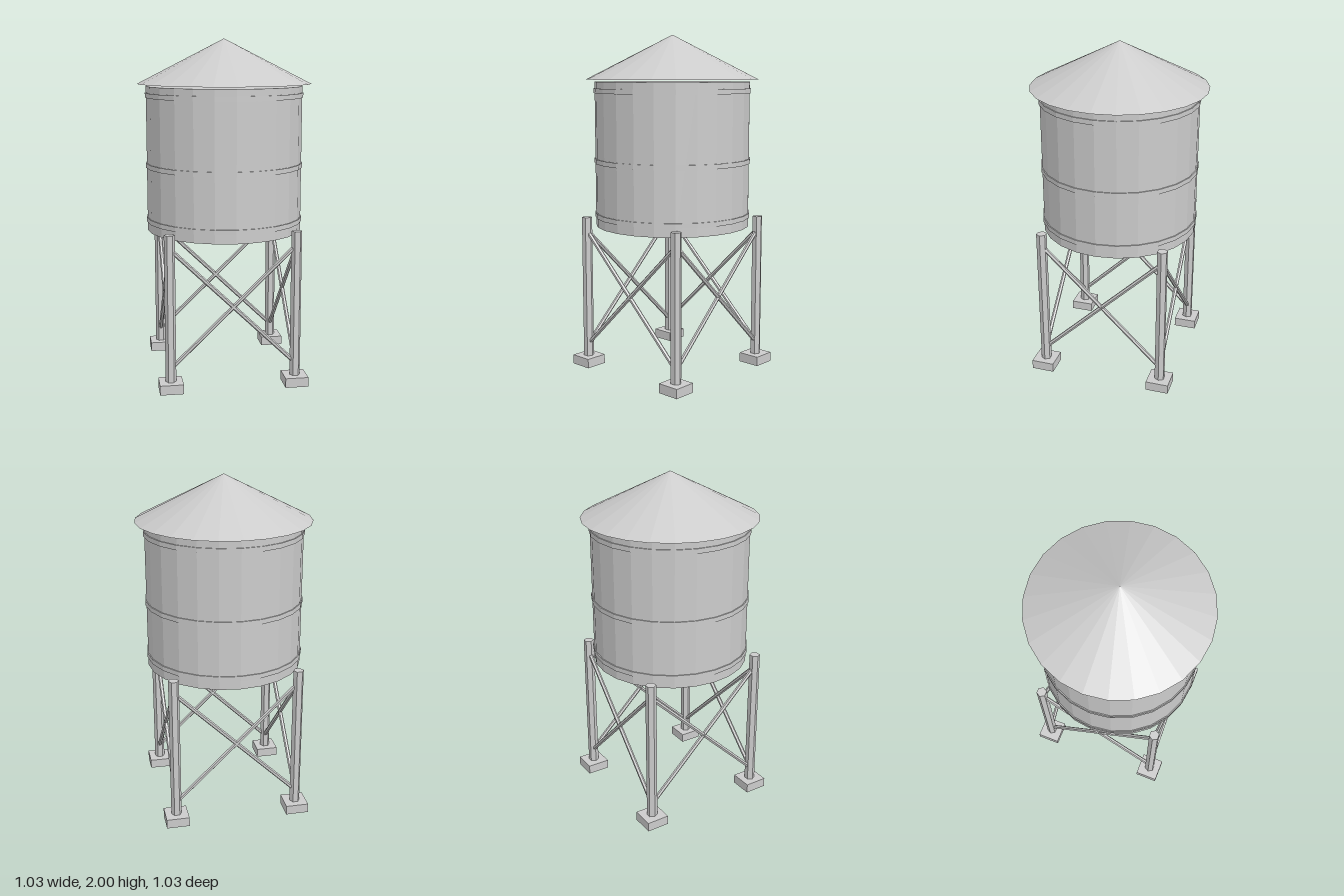
import * as THREE from 'three';

const SIDES = 24;
const LEG = 0.365; // leg offset from the centre on x and z

export function createModel() {
  const model = new THREE.Group();
  model.name = 'waterTower';
  const material = new THREE.MeshStandardMaterial({ color: 0xcccccc, flatShading: true });

  const add = (name, geometry, x = 0, y = 0, z = 0) => {
    const mesh = new THREE.Mesh(geometry, material);
    mesh.name = name;
    mesh.position.set(x, y, z);
    model.add(mesh);
    return mesh;
  };

  // Six-sided bar between two points, corners turned towards x
  const up = new THREE.Vector3(0, 1, 0);
  const bar = (name, a, b, radius) => {
    const dir = b.clone().sub(a);
    const geometry = new THREE.CylinderGeometry(radius, radius, dir.length(), 6).rotateY(Math.PI / 6);
    const mesh = add(name, geometry);
    mesh.position.copy(a).add(b).multiplyScalar(0.5);
    mesh.quaternion.setFromUnitVectors(up, dir.normalize());
  };

  // Tank, hoops and conical roof
  add('tank', new THREE.CylinderGeometry(0.46, 0.46, 0.853, SIDES), 0, 1.301, 0);
  for (const y of [0.941, 1.264, 1.675]) {
    add('hoop', new THREE.CylinderGeometry(0.466, 0.466, 0.028, SIDES), 0, y, 0);
  }
  add('roof', new THREE.ConeGeometry(0.513, 0.26, SIDES), 0, 1.87, 0);

  // Legs on square footings
  for (const sx of [-1, 1]) {
    for (const sz of [-1, 1]) {
      const x = sx * LEG, z = sz * LEG;
      add('footing', new THREE.BoxGeometry(0.136, 0.056, 0.136), x, 0.028, z);
      bar('leg', new THREE.Vector3(x, 0.05, z), new THREE.Vector3(x, 0.918, z), 0.031);
    }
  }

  // Crossed braces on all four sides
  const low = 0.13, high = 0.837;
  for (const side of [-LEG, LEG]) {
    for (const s of [-LEG, LEG]) {
      bar('brace', new THREE.Vector3(s, low, side), new THREE.Vector3(-s, high, side), 0.0128);
      bar('brace', new THREE.Vector3(side, low, s), new THREE.Vector3(side, high, -s), 0.0128);
    }
  }
  return model;
}
